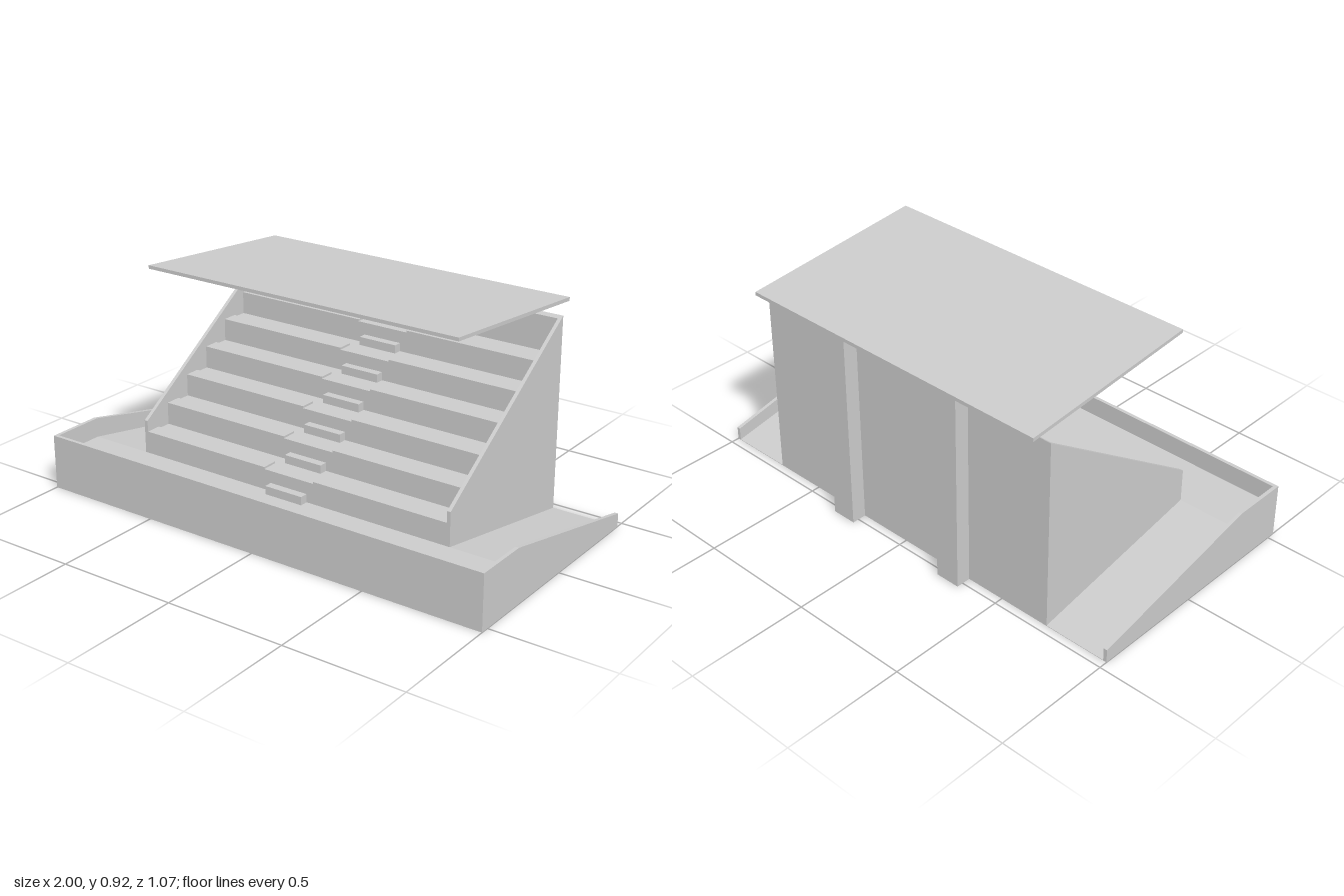
import * as THREE from 'three';

const material = new THREE.MeshStandardMaterial({ color: 0xcccccc, flatShading: true });

// Extrude a [z, y] side profile from x0 to x1.
function prism(name, profile, x0, x1) {
  const shape = new THREE.Shape(profile.map(([z, y]) => new THREE.Vector2(z, y)));
  const geo = new THREE.ExtrudeGeometry(shape, { depth: x1 - x0, bevelEnabled: false });
  geo.rotateY(-Math.PI / 2).translate(x1, 0, 0);
  const mesh = new THREE.Mesh(geo, material);
  mesh.name = name;
  return mesh;
}

function box(name, x0, x1, y0, y1, z0, z1) {
  const geo = new THREE.BoxGeometry(x1 - x0, y1 - y0, z1 - z0);
  geo.translate((x0 + x1) / 2, (y0 + y1) / 2, (z0 + z1) / 2);
  const mesh = new THREE.Mesh(geo, material);
  mesh.name = name;
  return mesh;
}

export function createModel() {
  const model = new THREE.Group();
  const front = 0.303, back = -0.465, floorY = 0.145;
  const wall = 0.015, rise = 0.084, run = 0.124, count = 6;
  const halfStand = 0.72, inner = halfStand - wall;

  // Base: level walkway at the front, ramps falling towards the back
  model.add(prism('baseFloor',
    [[0.535 - wall, 0], [0.535 - wall, floorY], [front, floorY], [back, 0.002], [back, 0]],
    -1 + wall, 1 - wall));
  model.add(box('frontParapet', -1, 1, 0, 0.226, 0.535 - wall, 0.535));
  const parapet = [[0.535 - wall, 0], [0.535 - wall, 0.226], [front, 0.226], [back, 0.056], [back, 0]];
  model.add(prism('rightParapet', parapet, -1, -1 + wall));
  model.add(prism('leftParapet', parapet, 1 - wall, 1));

  // Stand side walls and back wall
  const side = [[front, 0.1], [front, 0.283], [back, 0.8], [back, 0]];
  model.add(prism('rightStandWall', side, -halfStand, -inner));
  model.add(prism('leftStandWall', side, inner, halfStand));
  model.add(prism('backWall',
    [[back + wall, 0], [back + wall, 0.79], [back, 0.8], [back, 0]], -inner, inner));

  // Terraces
  const terrace = [[back + wall, 0.02], [front, 0.1]];
  for (let i = 0; i < count; i++) {
    const z = front - run * i, y = floorY + rise * (i + 1);
    const zEnd = i === count - 1 ? back + wall : z - run;
    terrace.push([z, y], [zEnd, y]);
  }
  model.add(prism('terraces', terrace, -inner, inner));

  // Seat planks on both sides of the aisle, and half steps in the aisle
  for (let i = 0; i < count; i++) {
    const z = front - run * i, y = floorY + rise * (i + 1);
    model.add(box('rightSeatPlank', -inner, -0.115, y, y + 0.008, z - 0.065, z));
    model.add(box('leftSeatPlank', 0.115, inner, y, y + 0.008, z - 0.065, z));
    model.add(box('aisleStep', -0.085, 0.085, y - rise, y - rise + 0.034, z, z + 0.034));
  }

  // Roof posts behind the back wall
  const post = [[back, 0], [back, 0.843], [-0.527, 0.837], [-0.527, 0]];
  model.add(prism('rightPost', post, -0.335, -0.23));
  model.add(prism('leftPost', post, 0.23, 0.335));

  // Tilted roof slab
  model.add(prism('roof',
    [[0.257, 0.906], [0.257, 0.92], [-0.538, 0.851], [-0.538, 0.836]], -inner, inner));

  return model;
}
